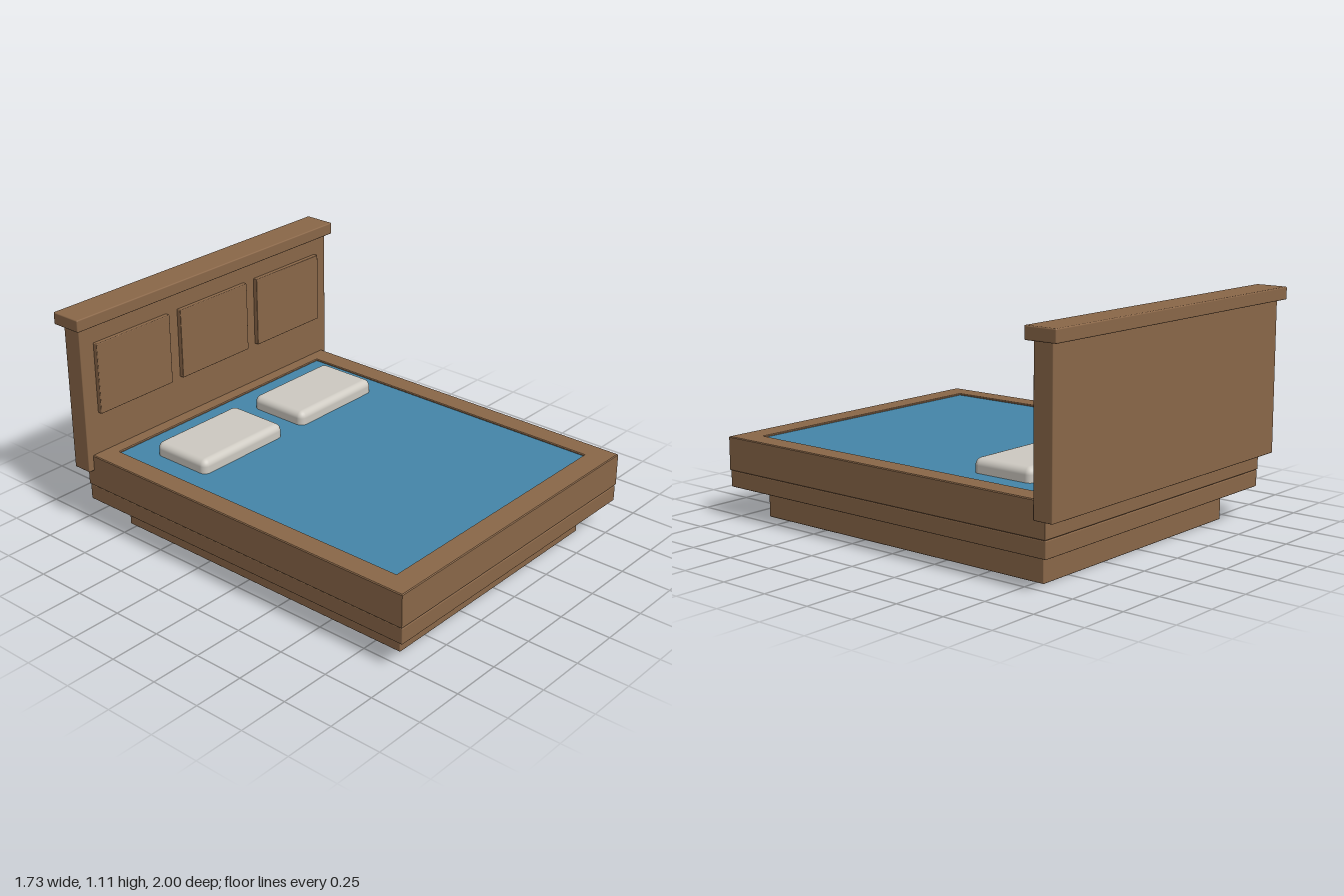
import * as THREE from 'three';
import { RoundedBoxGeometry } from 'three/addons/geometries/RoundedBoxGeometry.js';

export function createModel() {
  const bed = new THREE.Group();
  bed.name = 'bed';

  const material = (name, color) => {
    const m = new THREE.MeshStandardMaterial({ color });
    m.name = name;
    return m;
  };
  const wood = material('brown wood', 0x8b6849);
  const blanket = material('blue blanket', 0x4587aa);
  const linen = material('pale linen', 0xcfcbc3);

  // Softly rounded block given by its extents on each axis
  const block = (name, mat, [x0, x1], [y0, y1], [z0, z1], radius = 0.005, segments = 2) => {
    const geometry = new RoundedBoxGeometry(x1 - x0, y1 - y0, z1 - z0, segments, radius);
    const mesh = new THREE.Mesh(geometry, mat);
    mesh.position.set((x0 + x1) / 2, (y0 + y1) / 2, (z0 + z1) / 2);
    mesh.name = name;
    bed.add(mesh);
    return mesh;
  };

  // Base
  block('plinth', wood, [-0.673, 0.673], [0, 0.16], [-0.79, 0.885]);
  block('baseSlab', wood, [-0.805, 0.805], [0.155, 0.235], [-0.905, 1]);

  // Frame: a rectangular ring around the mattress, with eased edges
  const rectangle = (path, x, z0, z1) => {
    path.moveTo(-x, -z1);
    path.lineTo(x, -z1);
    path.lineTo(x, -z0);
    path.lineTo(-x, -z0);
    path.closePath();
    return path;
  };
  const bevel = 0.004;
  const ring = rectangle(new THREE.Shape(), 0.81 - bevel, -0.905 + bevel, 1 - bevel);
  ring.holes.push(rectangle(new THREE.Path(), 0.70 + bevel, -0.80 - bevel, 0.88 + bevel));
  const frameGeometry = new THREE.ExtrudeGeometry(ring, {
    depth: 0.165 - 2 * bevel,
    bevelEnabled: true,
    bevelSize: bevel,
    bevelThickness: bevel,
    bevelSegments: 1,
  });
  frameGeometry.rotateX(-Math.PI / 2);
  const frame = new THREE.Mesh(frameGeometry, wood);
  frame.position.y = 0.235 + bevel;
  frame.name = 'frame';
  bed.add(frame);

  // Mattress, set just below the frame's rim
  block('mattress', blanket, [-0.703, 0.703], [0.23, 0.392], [-0.803, 0.883], 0.003);

  // Pillows
  for (const side of [-1, 1]) {
    const cx = side * 0.332;
    block(side > 0 ? 'leftPillow' : 'rightPillow', linen,
      [cx - 0.265, cx + 0.265], [0.36, 0.46], [-0.66, -0.335], 0.034, 3);
  }

  // Headboard with cap and three raised panels
  block('headboard', wood, [-0.84, 0.84], [0.32, 1.055], [-0.965, -0.865]);
  block('headboardCap', wood, [-0.867, 0.867], [1.05, 1.11], [-1, -0.838], 0.006);
  for (const x of [-0.53, 0, 0.53]) {
    block('headboardPanel', wood, [x - 0.23, x + 0.23], [0.605, 0.96], [-0.885, -0.842], 0.004);
  }

  return bed;
}
